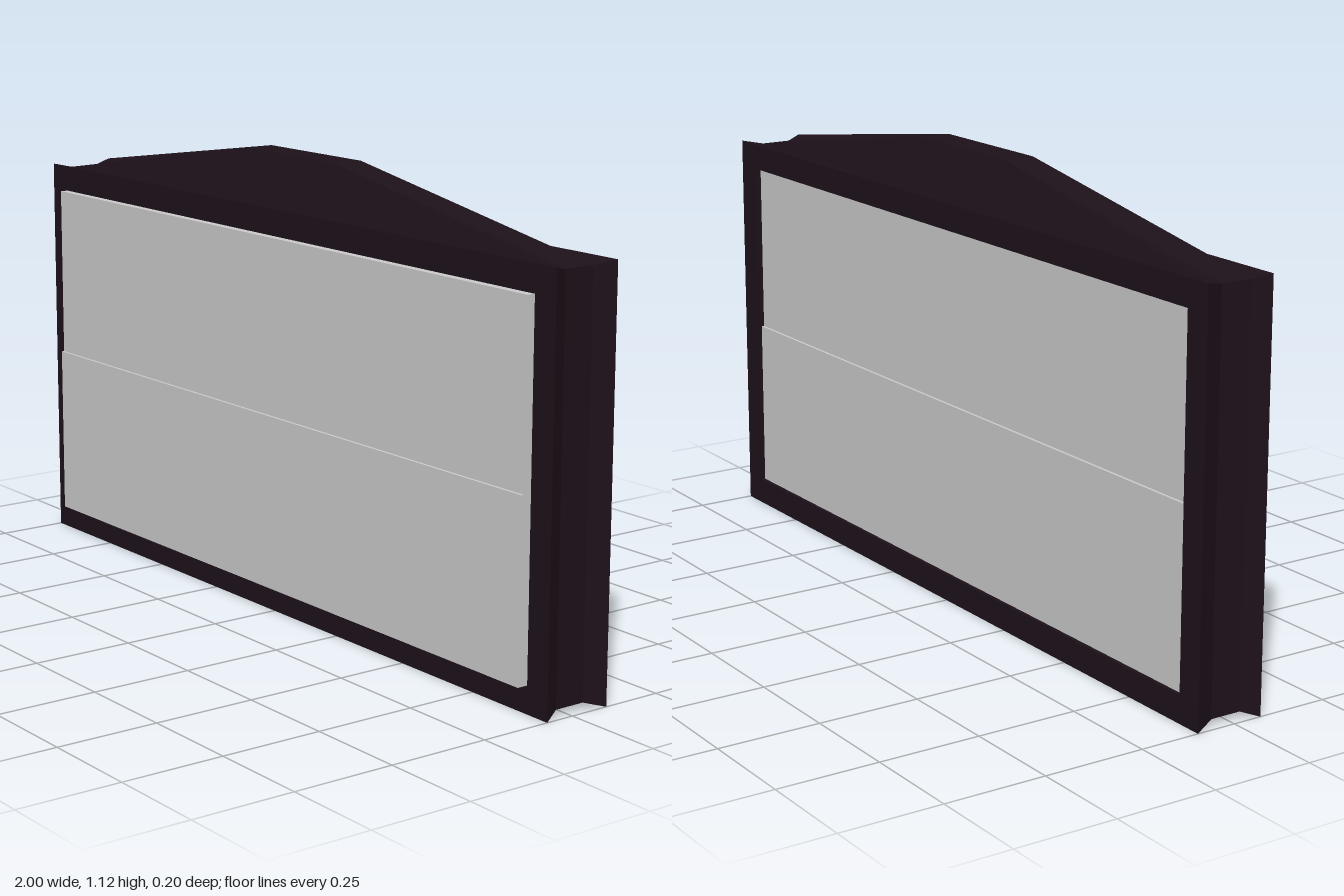
import * as THREE from 'three';

// Skin a closed chain of matching cross-section loops; each loop is { z, pts }.
function skinLoops(loops) {
  const pos = [];
  const at = (loop, i) => {
    const [x, y] = loop.pts[i % loop.pts.length];
    return [x, y, loop.z];
  };
  loops.forEach((a, k) => {
    const b = loops[(k + 1) % loops.length];
    for (let i = 0; i < a.pts.length; i++) {
      const p = at(a, i), q = at(b, i), r = at(b, i + 1), s = at(a, i + 1);
      pos.push(...p, ...q, ...r, ...p, ...r, ...s);
    }
  });
  const geo = new THREE.BufferGeometry();
  geo.setAttribute('position', new THREE.Float32BufferAttribute(pos, 3));
  geo.computeVertexNormals();
  return geo;
}

// Six-point outline: a rectangle with two extra points along its top edge.
function outline(halfW, bottom, top, peak = top) {
  return [
    [-halfW, bottom], [halfW, bottom], [halfW, top],
    [0.18, peak], [-0.175, peak], [-halfW, top],
  ];
}

export function createModel() {
  const model = new THREE.Group();
  model.name = 'displayBoard';

  const dark = new THREE.MeshStandardMaterial({ color: 0x1e111a, flatShading: true });
  const grey = new THREE.MeshStandardMaterial({ color: 0xcccccc, flatShading: true });

  // Frame: flat rims front and back, a grooved edge between them, gabled top
  const rim = outline(1, 0, 0.995);
  const groove = outline(0.98, 0.015, 0.985, 1.12);
  const opening = outline(0.933, 0.066, 0.93);
  const frame = new THREE.Mesh(skinLoops([
    { z: 0.073, pts: opening },
    { z: 0.073, pts: rim },
    { z: 0.03, pts: groove },
    { z: -0.048, pts: groove },
    { z: -0.1, pts: rim },
    { z: -0.1, pts: opening },
  ]), dark);
  frame.name = 'frame';
  model.add(frame);

  // Panels: proud of the frame in front, slightly recessed at the back
  const addPanel = (name, y0, y1, z0, z1) => {
    const panel = new THREE.Mesh(new THREE.BoxGeometry(1.866, y1 - y0, z1 - z0), grey);
    panel.position.set(0, (y0 + y1) / 2, (z0 + z1) / 2);
    panel.name = name;
    model.add(panel);
  };
  addPanel('lowerPanel', 0.066, 0.497, -0.09, 0.1);
  addPanel('upperPanel', 0.497, 0.93, -0.083, 0.093);

  return model;
}
